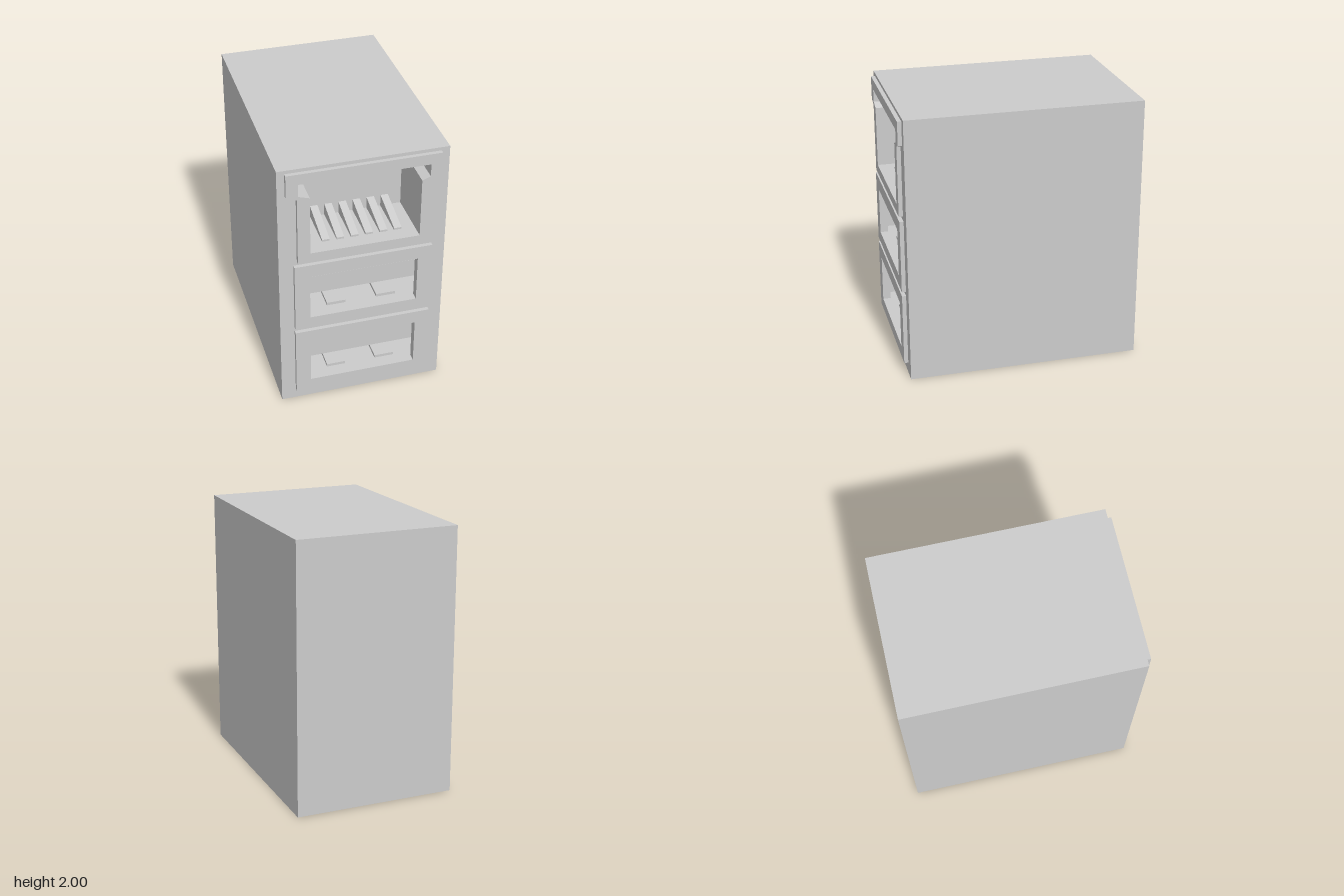
import * as THREE from 'three';

const material = new THREE.MeshStandardMaterial({ color: 0xcccccc, flatShading: true, side: THREE.DoubleSide });
const FRONT = 0.88, WALL = 0.85, BACK = -0.88;

const rect = (x0, x1, y0, y1) => [[x0, y0], [x1, y0], [x1, y1], [x0, y1]];
const toVectors = (points) => points.map(([x, y]) => new THREE.Vector2(x, y));

function add(parent, name, geometry) {
  const mesh = new THREE.Mesh(geometry, material);
  mesh.name = name;
  parent.add(mesh);
  return mesh;
}

// Flat sheet facing +z, with optional holes
function panel(outline, z, holes = []) {
  const shape = new THREE.Shape(toVectors(outline));
  holes.forEach((hole) => shape.holes.push(new THREE.Path(toVectors(hole))));
  return new THREE.ShapeGeometry(shape).translate(0, 0, z);
}

// Thin walls following a path, running from z0 to z1
function walls(points, z0, z1, closed = true) {
  const positions = [];
  const count = closed ? points.length : points.length - 1;
  for (let i = 0; i < count; i++) {
    const [ax, ay] = points[i], [bx, by] = points[(i + 1) % points.length];
    positions.push(ax, ay, z0, bx, by, z0, bx, by, z1, ax, ay, z0, bx, by, z1, ax, ay, z1);
  }
  const geometry = new THREE.BufferGeometry();
  geometry.setAttribute('position', new THREE.Float32BufferAttribute(positions, 3));
  geometry.computeVertexNormals();
  return geometry;
}

const contacts = [[-0.24, -0.1], [0.13, 0.275]];

// Rectangle whose lower edge is notched at each contact
function notched(x0, x1, y0, y1, depth) {
  const points = [[x0, y0]];
  contacts.forEach(([a, b]) => points.push([a, y0], [a, y0 + depth], [b, y0 + depth], [b, y0]));
  return [...points, [x1, y0], [x1, y1], [x0, y1]];
}

function frame(group, outer, inner, lipEnd) {
  add(group, 'frameFace', panel(outer, FRONT, [inner]));
  add(group, 'frameEdge', walls(outer, WALL, FRONT));
  add(group, 'openingLip', walls(inner, lipEnd, FRONT));
}

// Wide slot with a hollow tongue and two raised contacts
function slotPort(name, base, outline) {
  const group = new THREE.Group();
  group.name = name;
  const lip = 0.82, rear = 0.49, tip = 0.78;
  const y0 = base + 0.09, y1 = base + 0.45;
  const x0 = -0.495, x1 = 0.505;
  const opening = rect(-0.39, 0.4, y0, y1);
  frame(group, outline, opening, lip);
  // Cheeks behind the lip, then the wider cavity
  add(group, 'leftCheek', panel(rect(0.4, x1, y0, y1), lip));
  add(group, 'rightCheek', panel(rect(x0, -0.39, y0, y1), lip));
  add(group, 'cavityWalls', walls([[x0, y0], [x0, y1], [x1, y1], [x1, y0]], rear, lip, false));
  const floor = panel(notched(x0, x1, rear, lip, tip - rear), 0).rotateX(Math.PI / 2);
  add(group, 'cavityFloor', floor.translate(0, y0, 0));
  // Tongue, open at the rear
  const tongue = rect(-0.435, 0.445, base + 0.225, base + 0.37);
  add(group, 'cavityBack', panel(notched(x0, x1, y0, y1, 0.022), rear, [tongue]));
  add(group, 'tongueSides', walls(tongue, rear, tip));
  add(group, 'tongueFront', panel(tongue, tip));
  contacts.forEach(([a, b]) => {
    const top = y0 + 0.022;
    add(group, 'contact', walls([[a, y0], [a, top], [b, top], [b, y0]], rear, tip, false));
    add(group, 'contactFront', panel(rect(a, b, y0, top), tip));
  });
  return group;
}

// T-shaped socket with a row of sloping pins
function socketPort(outline) {
  const group = new THREE.Group();
  group.name = 'upperSocket';
  const rear = 0.45;
  const inner = [[-0.385, 1.32], [0.405, 1.32], [0.405, 1.775], [0.465, 1.8],
    [0.465, 1.895], [-0.465, 1.895], [-0.465, 1.8], [-0.385, 1.775]];
  frame(group, outline, inner, rear);
  add(group, 'socketBack', panel(inner, rear));
  const profile = new THREE.Shape(toVectors([[-0.77, 1.32], [-rear, 1.32], [-rear, 1.41], [-0.77, 1.335]]));
  const pin = new THREE.ExtrudeGeometry(profile, { depth: 0.055, bevelEnabled: false }).rotateY(Math.PI / 2);
  for (let i = 0; i < 6; i++) add(group, 'pin', pin).position.x = -0.272 + i * 0.105;
  return group;
}

export function createModel() {
  const model = new THREE.Group();
  model.name = 'connectorBlock';
  const slots = [0.085, 0.668].map((base) => ({ base, outline: rect(-0.5, 0.505, base, base + 0.55) }));
  const socketOutline = [[-0.475, 1.25], [0.485, 1.25], [0.485, 1.775], [0.545, 1.8],
    [0.545, 1.975], [-0.55, 1.975], [-0.55, 1.8], [-0.475, 1.775]];

  // Housing shell, open underneath
  const side = rect(-0.605, 0.605, 0, 2);
  add(model, 'housingWalls', walls([side[0], side[3], side[2], side[1]], BACK, WALL, false));
  add(model, 'housingBack', panel(side, BACK));
  add(model, 'housingFront', panel(side, WALL, [...slots.map((s) => s.outline), socketOutline]));

  slots.forEach((s, i) => model.add(slotPort(['lowerSlot', 'middleSlot'][i], s.base, s.outline)));
  model.add(socketPort(socketOutline));
  return model;
}
